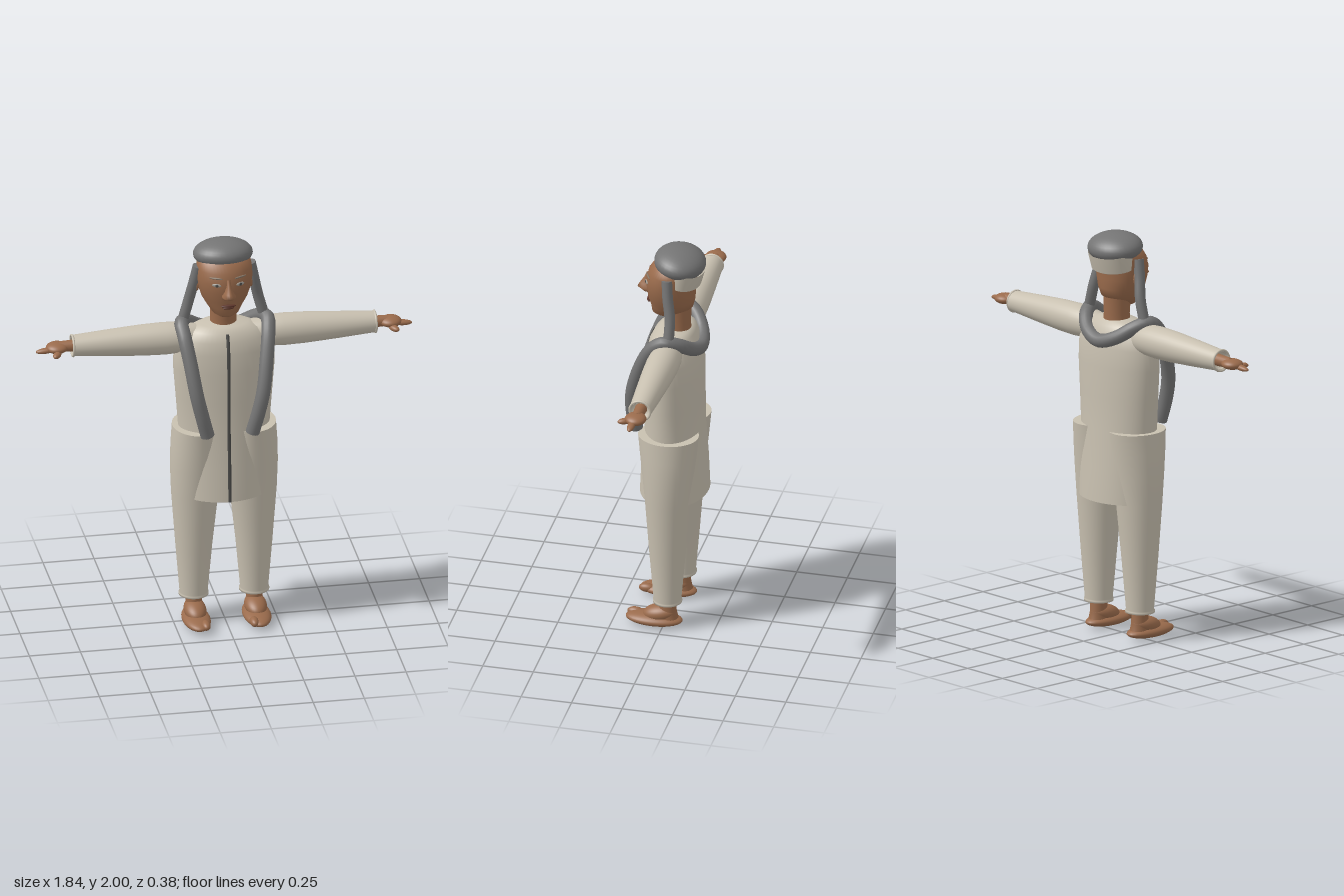
import * as THREE from 'three';

const mat = (name, color, side = THREE.FrontSide) => {
  const m = new THREE.MeshStandardMaterial({ color, side });
  m.name = name;
  return m;
};

// Stacked ellipses; each row is [y, centreX, centreZ, radiusX, radiusZ].
// A repeated row makes a sharp edge.
function loft(rows, n = 36) {
  const pos = [], idx = [];
  rows.forEach(([y, cx, cz, rx, rz], i) => {
    for (let j = 0; j < n; j++) {
      const a = (j / n) * Math.PI * 2;
      pos.push(cx + rx * Math.sin(a), y, cz + rz * Math.cos(a));
      if (i === rows.length - 1) continue;
      const p = i * n + j, q = i * n + ((j + 1) % n);
      idx.push(p, q, p + n, q, q + n, p + n);
    }
  });
  const g = new THREE.BufferGeometry();
  g.setAttribute('position', new THREE.Float32BufferAttribute(pos, 3));
  g.setIndex(idx);
  g.computeVertexNormals();
  return g;
}

export function createModel() {
  const cloth = mat('cream cloth', 0xc8c0b0, THREE.DoubleSide);
  const wool = mat('grey wool', 0x747474);
  const skin = mat('skin', 0x9a6b4c);
  const dark = mat('dark trim', 0x4a4a48);
  const lip = mat('lips', 0x5c352a);
  const eyeWhite = mat('eye', 0xa09a90);
  const brow = mat('brow', 0x857565);

  const model = new THREE.Group();
  model.name = 'figure';
  const add = (name, geo, m, x = 0, y = 0, z = 0, parent = model) => {
    const mesh = new THREE.Mesh(geo, m);
    mesh.name = name;
    mesh.position.set(x, y, z);
    parent.add(mesh);
    return mesh;
  };
  const ball = (name, m, p, r, parent = model) => {
    const mesh = add(name, new THREE.SphereGeometry(1, 32, 20), m, ...p, parent);
    mesh.scale.set(...r);
    return mesh;
  };
  // Round tube with flat ends
  const rope = (name, points, r, m) => {
    const g = new THREE.Group();
    g.name = name;
    model.add(g);
    const c = new THREE.CatmullRomCurve3(points.map(p => new THREE.Vector3(...p)));
    add(name + 'Tube', new THREE.TubeGeometry(c, 72, r, 16), m, 0, 0, 0, g);
    for (const t of [0, 1]) {
      const p = c.getPoint(t), d = c.getTangent(t).multiplyScalar(t ? 1 : -1);
      add(name + 'End', new THREE.CircleGeometry(r, 16), m, p.x, p.y, p.z, g).lookAt(p.clone().add(d));
    }
  };

  // Long tunic, open at the bottom
  const tunic = [
    [0.685, 0, -0.02, 0.22, 0.166], [0.85, 0, -0.02, 0.22, 0.158], [1.04, 0, -0.02, 0.223, 0.142],
    [1.2, 0, -0.02, 0.235, 0.14], [1.35, 0, -0.02, 0.247, 0.138], [1.45, 0, -0.02, 0.245, 0.132],
    [1.51, 0, -0.02, 0.222, 0.118], [1.55, 0, -0.02, 0.175, 0.098], [1.572, 0, -0.025, 0.12, 0.075],
    [1.58, 0, -0.03, 0.04, 0.03],
  ];
  add('tunic', loft(tunic, 48), cloth);
  // Front fastening follows the tunic's front
  add('frontFastening', loft(tunic.slice(0, 8).map(([y, , cz, , rz]) => [y, 0, cz + rz, 0.008, 0.004]), 8), dark);

  // Neck and head
  add('neck', loft([[1.54, 0, -0.035, 0.068, 0.065], [1.6, 0, -0.035, 0.063, 0.062],
    [1.72, 0, -0.03, 0.066, 0.07]]), skin);
  add('head', loft([
    [1.632, 0, 0.025, 0.003, 0.003], [1.637, 0, 0.025, 0.038, 0.045], [1.655, 0, 0.02, 0.065, 0.072],
    [1.69, 0, -0.006, 0.09, 0.102], [1.73, 0, -0.005, 0.112, 0.113], [1.78, 0, -0.002, 0.128, 0.118],
    [1.83, 0, -0.001, 0.135, 0.12], [1.88, 0, -0.01, 0.134, 0.116], [1.92, 0, -0.025, 0.125, 0.105],
    [1.95, 0, -0.04, 0.08, 0.07],
  ], 48), skin);
  add('nose', loft([
    [1.752, 0, 0.11, 0.002, 0.002], [1.756, 0, 0.112, 0.03, 0.026], [1.772, 0, 0.115, 0.034, 0.05],
    [1.79, 0, 0.112, 0.022, 0.042], [1.82, 0, 0.108, 0.013, 0.026], [1.855, 0, 0.104, 0.01, 0.014],
  ], 24), skin);
  ball('upperLip', lip, [0, 1.714, 0.106], [0.037, 0.007, 0.01]);
  ball('lowerLip', lip, [0, 1.703, 0.104], [0.028, 0.007, 0.01]);

  // Cap with a cloth band showing at the back
  ball('cap', wool, [0, 1.93, -0.045], [0.145, 0.07, 0.125]).rotation.x = -0.13;
  add('capBand', loft([[-0.035, 0, 0, 0.118, 0.088], [-0.03, 0, 0, 0.124, 0.094],
    [0.05, 0, 0, 0.13, 0.1]]), cloth, 0, 1.865, -0.06).rotation.x = -0.2;

  // Shawl round the back of the neck and down the front
  const half = [[0.11, 1.05, 0.146], [0.138, 1.16, 0.157], [0.163, 1.27, 0.152], [0.186, 1.42, 0.11],
    [0.205, 1.54, 0.05], [0.21, 1.585, -0.01], [0.175, 1.565, -0.075], [0.1, 1.51, -0.13]];
  rope('shawl', [...half, [0, 1.48, -0.15], ...half.slice().reverse().map(([x, y, z]) => [-x, y, z])], 0.034, wool);

  for (const s of [1, -1]) {
    const side = s > 0 ? 'left' : 'right';

    // Face
    const eye = ball(side + 'Eye', eyeWhite, [s * 0.058, 1.828, 0.107], [0.023, 0.009, 0.005]);
    eye.rotation.y = s * 0.42;
    ball(side + 'Pupil', dark, [s * 0.058, 1.828, 0.111], [0.008, 0.008, 0.003]).rotation.y = s * 0.42;
    const eyebrow = ball(side + 'Brow', brow, [s * 0.06, 1.862, 0.1], [0.034, 0.005, 0.005]);
    eyebrow.rotation.y = s * 0.45;
    ball(side + 'Ear', skin, [s * 0.132, 1.79, -0.02], [0.012, 0.04, 0.025]);

    // Hanging flap of the cap
    rope(side + 'CapFlap', [[s * 0.128, 1.885, -0.01], [s * 0.146, 1.8, -0.018],
      [s * 0.168, 1.7, -0.034], [s * 0.195, 1.6, -0.035]], 0.026, wool);

    // Sleeve with a recessed cuff
    const sleeve = add(side + 'Sleeve', loft([
      [0.1, 0, 0, 0.055, 0.055], [0.2, 0, 0, 0.074, 0.076], [0.29, 0, 0, 0.079, 0.079],
      [0.4, 0, 0, 0.076, 0.075], [0.55, 0, 0, 0.066, 0.066], [0.74, 0, 0, 0.051, 0.054],
      [0.74, 0, 0, 0.051, 0.054], [0.74, 0, 0, 0.043, 0.046], [0.74, 0, 0, 0.043, 0.046],
      [0.715, 0, 0, 0.04, 0.042], [0.715, 0, 0, 0.002, 0.002],
    ]), cloth, 0, 1.505, -0.025);
    sleeve.rotation.z = -s * Math.PI / 2;
    add(side + 'Cuff', new THREE.TorusGeometry(0.051, 0.006, 10, 36), cloth, s * 0.739, 1.505, -0.025).rotation.y = Math.PI / 2;

    // Hand
    const wrist = add(side + 'Wrist', new THREE.CylinderGeometry(0.026, 0.03, 0.1, 24), skin, s * 0.755, 1.505, -0.025);
    wrist.rotation.z = -s * Math.PI / 2;
    ball(side + 'Palm', skin, [s * 0.815, 1.503, -0.022], [0.054, 0.026, 0.052]);
    ball(side + 'Fingers', skin, [s * 0.87, 1.494, -0.014], [0.05, 0.014, 0.018]).rotation.z = -s * 0.08;
    ball(side + 'Thumb', skin, [s * 0.823, 1.488, 0.03], [0.018, 0.015, 0.035]).rotation.y = s * 0.5;

    // Trouser leg with a flat waist and hem
    const leg = [[0.135, 0.148, -0.018, 0.064, 0.064], [0.135, 0.148, -0.018, 0.073, 0.071],
      [0.145, 0.148, -0.018, 0.073, 0.071], [0.15, 0.148, -0.018, 0.068, 0.067],
      [0.4, 0.147, -0.018, 0.089, 0.088], [0.685, 0.142, -0.018, 0.115, 0.11],
      [0.83, 0.131, -0.018, 0.131, 0.126], [0.94, 0.129, -0.018, 0.13, 0.138],
      [1.04, 0.128, -0.018, 0.124, 0.148], [1.04, 0.128, -0.018, 0.124, 0.148],
      [1.04, 0.128, -0.018, 0.002, 0.002]];
    add(side + 'TrouserLeg', loft(leg.map(([y, x, ...r]) => [y, s * x, ...r])), cloth);

    // Foot
    add(side + 'Ankle', loft([[0.04, 0, 0, 0.045, 0.055], [0.08, 0, 0, 0.04, 0.045],
      [0.18, 0, 0, 0.038, 0.04]]), skin, s * 0.148, 0, -0.018);
    ball(side + 'Sole', skin, [s * 0.148, 0.031, 0.048], [0.068, 0.031, 0.14]);
    ball(side + 'Instep', skin, [s * 0.148, 0.066, 0.02], [0.054, 0.042, 0.085]).rotation.x = 0.2;
    ball(side + 'BigToe', skin, [s * 0.118, 0.038, 0.148], [0.022, 0.022, 0.04]);
  }
  return model;
}
